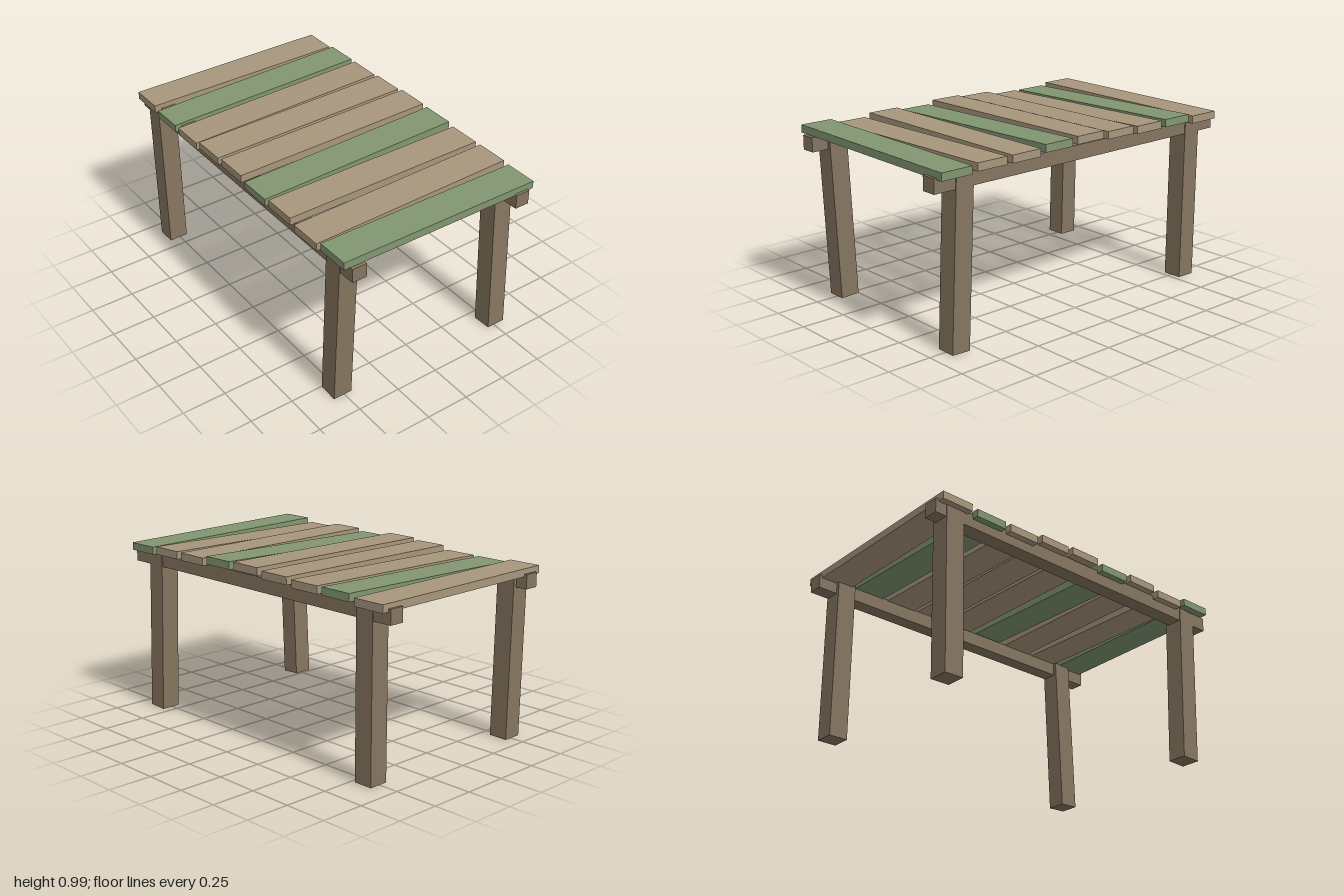
import * as THREE from 'three';

export function createModel() {
  const model = new THREE.Group();
  model.name = 'plankTable';

  const material = (name, color) => {
    const m = new THREE.MeshStandardMaterial({ color });
    m.name = name;
    return m;
  };
  const tan = material('tanWood', 0xa8967c);
  const green = material('greenPaint', 0x829671);
  const brown = material('brownWood', 0x867660);

  const addBox = (name, mat, size, position) => {
    const mesh = new THREE.Mesh(new THREE.BoxGeometry(...size), mat);
    mesh.name = name;
    mesh.position.set(...position);
    model.add(mesh);
    return mesh;
  };

  // Long rails under the planks
  addBox('frontRail', brown, [2, 0.08, 0.085], [0, 0.895, 0.518]);
  addBox('backRail', brown, [2, 0.08, 0.085], [0, 0.895, -0.518]);

  // Legs, each leaning a little sideways: name, centre x at top and foot, z
  const legHeight = 0.932;
  const legs = [
    ['frontRightLeg', -0.879, -0.865, 0.51],
    ['frontLeftLeg', 0.85, 0.811, 0.51],
    ['backRightLeg', -0.832, -0.83, -0.51],
    ['backLeftLeg', 0.812, 0.851, -0.51],
  ];
  for (const [name, top, foot, z] of legs) {
    const leg = addBox(name, brown, [0.11, legHeight - 0.002, 0.11],
      [(top + foot) / 2, legHeight / 2 + 0.002, z]);
    leg.rotation.z = Math.atan((foot - top) / legHeight);
  }

  // Top planks, unevenly pitched: height of the upper face at front and back
  const length = 1.2, thickness = 0.043;
  const planks = [
    [0.964, 0.961, tan], [0.949, 0.976, green], [0.95, 0.975, tan],
    [0.973, 0.983, tan], [0.984, 0.994, tan], [0.963, 0.99, green],
    [0.978, 0.975, tan], [0.958, 0.976, tan], [0.982, 0.968, green],
  ];
  planks.forEach(([front, back, mat], i) => {
    const plank = addBox(`plank${i + 1}`, mat, [0.189, thickness, length - 0.001],
      [(i - 4) * 0.2225, (front + back - thickness) / 2, 0]);
    plank.rotation.x = Math.atan((back - front) / length);
  });

  return model;
}
